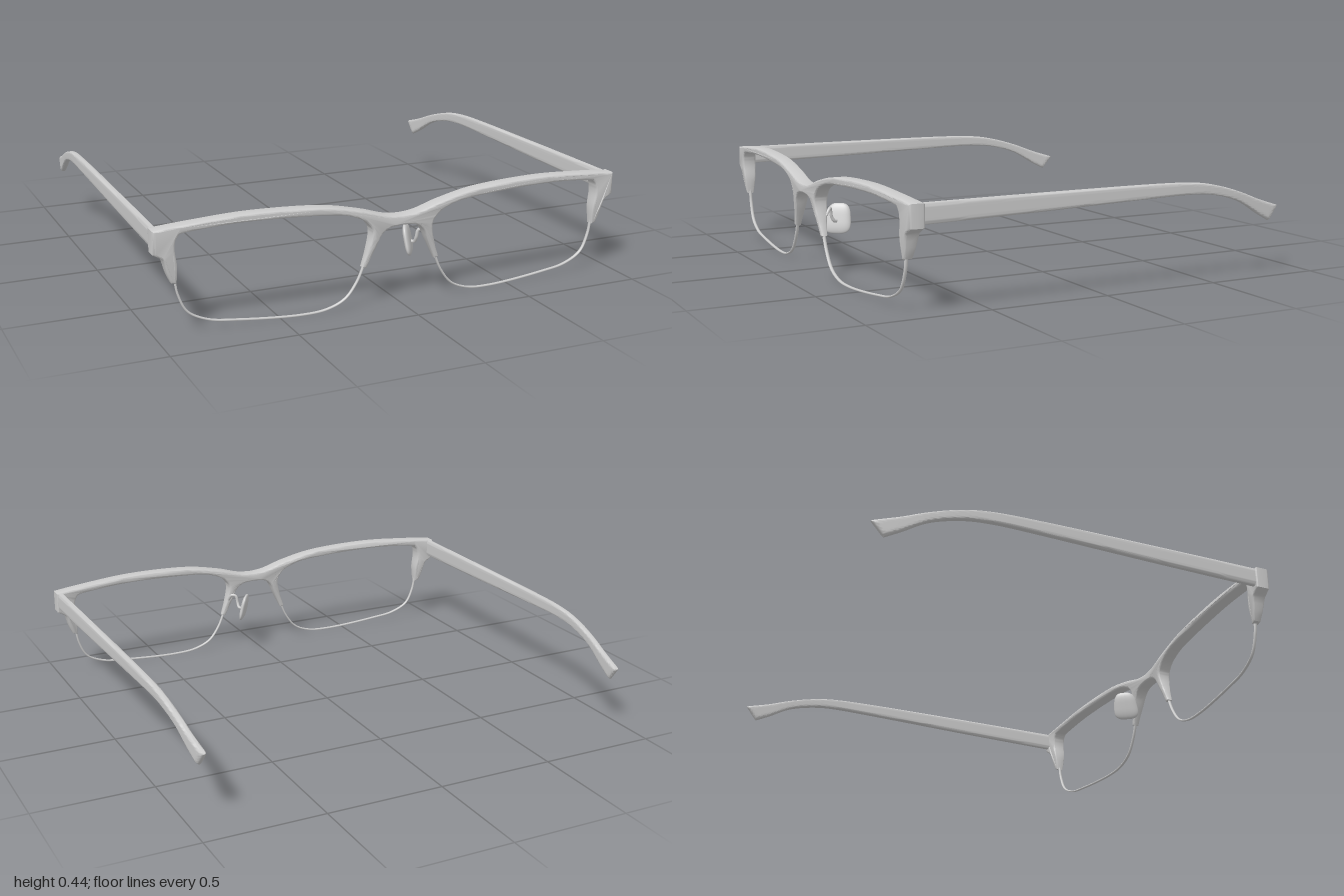
import * as THREE from 'three';
import { mergeVertices, toCreasedNormals } from 'three/addons/utils/BufferGeometryUtils.js';

const material = new THREE.MeshStandardMaterial({ color: 0xcccccc, side: THREE.DoubleSide });

// Depth of the front's gentle curve at a given x
const frontZ = (x) => 0.8345 - 0.038 * x * x;

const curve = (pts) => new THREE.SplineCurve(pts.map(([x, y]) => new THREE.Vector2(x, y)));
const spline = (pts, n) => curve(pts).getPoints(n);

function addMesh(group, geometry, name) {
  const mesh = new THREE.Mesh(geometry, material);
  mesh.name = name;
  group.add(mesh);
}

// Move each vertex by a rule
function deform(g, rule) {
  const p = g.attributes.position;
  const v = new THREE.Vector3();
  for (let i = 0; i < p.count; i++) {
    rule(v.fromBufferAttribute(p, i));
    p.setXYZ(i, v.x, v.y, v.z);
  }
  return g;
}

function smooth(g) {
  g.deleteAttribute('uv');
  g.deleteAttribute('normal');
  return toCreasedNormals(mergeVertices(g, 1e-5), 0.75);
}

// Mirror in x, keeping faces outward
function mirrored(g) {
  const m = (g.index ? g.toNonIndexed() : g.clone()).scale(-1, 1, 1);
  for (const a of Object.values(m.attributes)) {
    const s = a.itemSize;
    for (let i = 0; i < a.count; i += 3) {
      for (let k = 0; k < s; k++) {
        const j = (i + 1) * s + k;
        [a.array[j], a.array[j + s]] = [a.array[j + s], a.array[j]];
      }
    }
  }
  m.computeBoundingSphere();
  return m;
}

// Browline, bridge, end lugs and nose arms as one curved piece
function browFrame() {
  const half = [
    ...spline([[0, 0.362], [0.07, 0.37], [0.18, 0.402], [0.35, 0.433], [0.62, 0.443], [0.85, 0.43], [1, 0.416]], 40),
    ...spline([[1, 0.325], [0.975, 0.31], [0.96, 0.295], [0.945, 0.24], [0.93, 0.205]], 10),
    ...spline([[0.91, 0.2], [0.908, 0.27], [0.917, 0.34], [0.905, 0.385], [0.86, 0.4], [0.63, 0.413],
      [0.31, 0.4], [0.19, 0.373], [0.14, 0.335], [0.13, 0.295], [0.146, 0.23], [0.167, 0.168]], 60),
    ...spline([[0.15, 0.163], [0.115, 0.24], [0.09, 0.295], [0.055, 0.319], [0, 0.325]], 20),
  ];
  const other = half.slice(1, -1).reverse().map((p) => new THREE.Vector2(-p.x, p.y));
  const depth = 0.062;
  const bevel = 0.008;
  const g = new THREE.ExtrudeGeometry(new THREE.Shape([...half, ...other]), {
    depth: depth - 2 * bevel, curveSegments: 1, steps: 2,
    bevelEnabled: true, bevelThickness: bevel, bevelSize: bevel, bevelOffset: -bevel, bevelSegments: 3,
  });
  g.translate(0, 0, bevel - depth / 2);
  // Lugs and nose arms grow thinner downwards
  return smooth(deform(g, (v) => {
    const t = THREE.MathUtils.smoothstep(v.y, 0.15, 0.33);
    v.z = v.z * (0.42 + 0.58 * t) + frontZ(v.x);
  }));
}

// Thin wire under each lens, deeper than it is wide
function lensRim() {
  const pts = [[0.915, 0.26], [0.912, 0.2], [0.902, 0.15], [0.868, 0.082], [0.79, 0.041], [0.68, 0.024],
    [0.42, 0.005], [0.31, 0.013], [0.235, 0.045], [0.187, 0.105], [0.158, 0.17], [0.14, 0.23]];
  const path = new THREE.CatmullRomCurve3(pts.map(([x, y]) => new THREE.Vector3(x, y, frontZ(x))));
  return deform(new THREE.TubeGeometry(path, 90, 0.0045, 8), (v) => {
    v.z = frontZ(v.x) + (v.z - frontZ(v.x)) * 1.7;
  });
}

// Side arm: a box fitted between paired top and bottom curves (z, y), bowed inwards towards the tip
function temple() {
  const top = curve([[0.785, 0.415], [0.3, 0.416], [-0.2, 0.414], [-0.41, 0.407], [-0.53, 0.389],
    [-0.65, 0.355], [-0.76, 0.314], [-0.868, 0.28]]);
  const bottom = curve([[0.785, 0.336], [0.3, 0.345], [-0.2, 0.358], [-0.41, 0.36], [-0.53, 0.348],
    [-0.65, 0.314], [-0.75, 0.257], [-0.82, 0.22]]);
  return smooth(deform(new THREE.BoxGeometry(1, 1, 1, 4, 14, 90), (v) => {
    const u = 0.5 - v.z;
    const p = bottom.getPoint(u).lerp(top.getPoint(u), v.y + 0.5);
    const roundEdge = 1 - 0.5 * Math.abs(2 * v.y) ** 10;
    const roundTip = Math.sqrt(1 - 0.9 * Math.max(0, (u - 0.96) / 0.04) ** 2);
    const bend = Math.max(0, -0.3 - p.x);
    const center = 0.976 + 0.01 * (p.x - 0.3) - 0.09 * bend ** 1.7;
    v.set(center + 0.028 * v.x * roundEdge * roundTip, p.y, p.x);
  }));
}

// Thin, squarish pad leaning on the nose
function nosePad() {
  const g = new THREE.SphereGeometry(1, 40, 32);
  deform(g, (v) => {
    const square = (a) => Math.sign(a) * Math.abs(a) ** 0.62;
    const y = square(v.y);
    v.set(0.013 * v.x, 0.064 * y, 0.054 * (1 - 0.14 * y) * square(v.z) - 0.004 * y);
  });
  g.rotateZ(0.22).rotateY(-0.6).translate(0.083, 0.222, 0.742);
  g.computeVertexNormals();
  return g;
}

// Wire from the back of the nose arm to the pad
function padWire() {
  const pts = [[0.135, 0.245, 0.815], [0.125, 0.272, 0.795], [0.108, 0.268, 0.785], [0.102, 0.235, 0.778],
    [0.1, 0.215, 0.765], [0.085, 0.215, 0.745]];
  const path = new THREE.CatmullRomCurve3(pts.map((p) => new THREE.Vector3(...p)));
  return new THREE.TubeGeometry(path, 30, 0.007, 8);
}

export function createModel() {
  const model = new THREE.Group();
  model.name = 'eyeglasses';

  addMesh(model, browFrame(), 'browFrame');

  const rim = lensRim();
  addMesh(model, rim, 'leftLensRim');
  addMesh(model, mirrored(rim), 'rightLensRim');

  const arm = temple();
  addMesh(model, arm, 'leftTemple');
  addMesh(model, mirrored(arm), 'rightTemple');

  // A single pad, on the left side only
  addMesh(model, nosePad(), 'nosePad');
  addMesh(model, padWire(), 'nosePadWire');
  return model;
}
